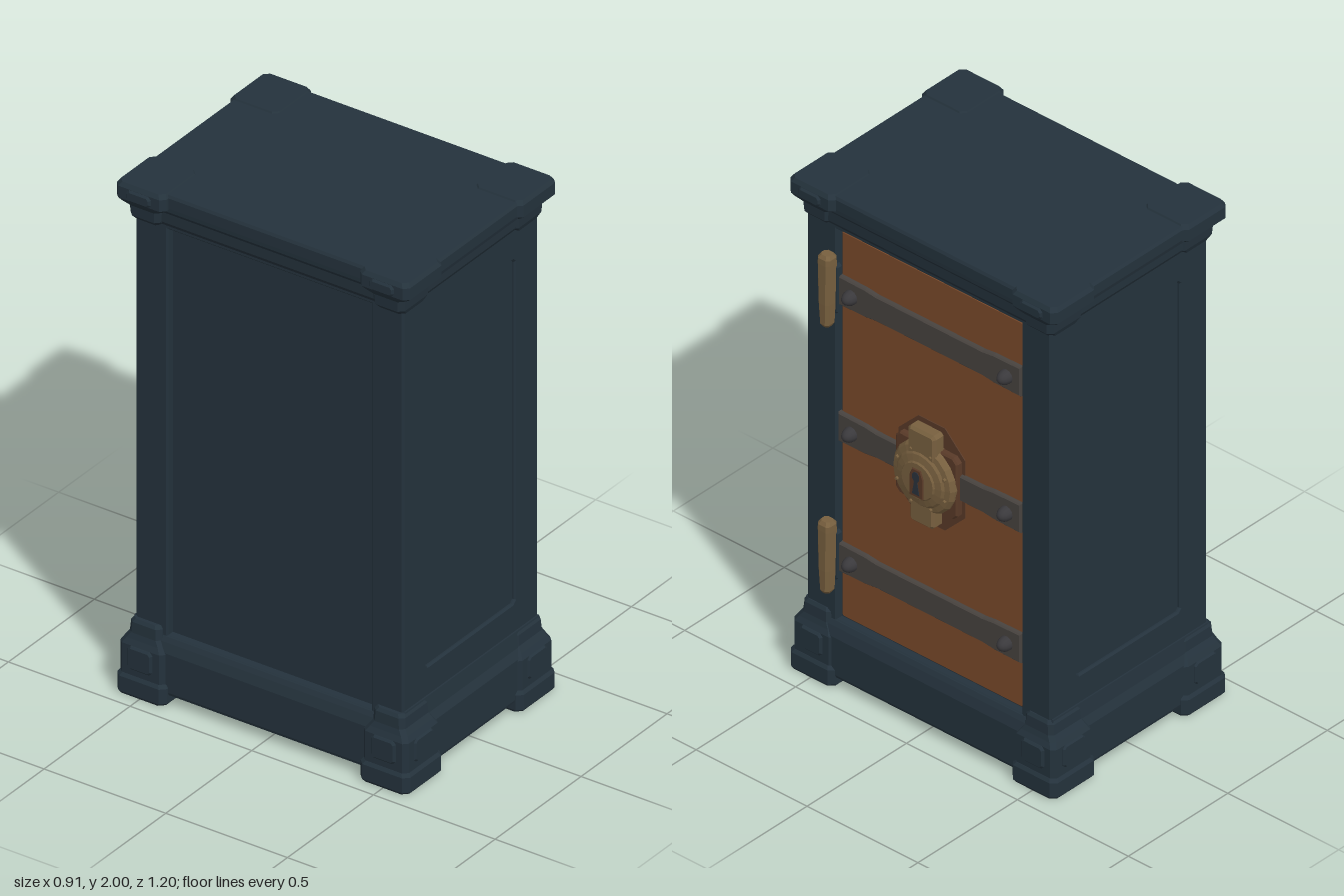
import * as THREE from 'three';

const mat = (name, color) => {
  const m = new THREE.MeshStandardMaterial({ color });
  m.name = name;
  return m;
};

// Stacked chamfered rectangles; each level is [y, halfX, halfZ]
function loft(levels, chamfer = 0.012) {
  const rings = levels.map(([y, a, b]) => {
    const c = Math.min(chamfer, a * 0.6, b * 0.6);
    return [[a, -b + c], [a, b - c], [a - c, b], [-a + c, b], [-a, b - c], [-a, -b + c], [-a + c, -b], [a - c, -b]]
      .map(([x, z]) => [x, y, z]);
  });
  const pos = [];
  const tri = (...p) => p.forEach((v) => pos.push(...v));
  const last = rings.length - 1;
  for (let i = 0; i < 8; i++) {
    const j = (i + 1) % 8;
    for (let k = 0; k < last; k++) {
      const lo = rings[k], hi = rings[k + 1];
      tri(lo[i], hi[i], lo[j]);
      tri(lo[j], hi[i], hi[j]);
    }
    tri([0, levels[0][0], 0], rings[0][i], rings[0][j]);
    tri([0, levels[last][0], 0], rings[last][j], rings[last][i]);
  }
  const g = new THREE.BufferGeometry();
  g.setAttribute('position', new THREE.Float32BufferAttribute(pos, 3));
  g.computeVertexNormals();
  return g;
}

const polygon = (pts) => new THREE.Shape(pts.map(([x, y]) => new THREE.Vector2(x, y)));
const rect = (x0, y0, x1, y1, c = 0) => polygon(c
  ? [[x0 + c, y0], [x1 - c, y0], [x1, y0 + c], [x1, y1 - c], [x1 - c, y1], [x0 + c, y1], [x0, y1 - c], [x0, y0 + c]]
  : [[x0, y0], [x1, y0], [x1, y1], [x0, y1]]);

// Slab whose bevelled outer face lies on z = 0
function slab(shape, depth, bevel = 0.006) {
  const g = new THREE.ExtrudeGeometry(shape, {
    depth: depth - 2 * bevel, bevelEnabled: true, bevelSize: bevel, bevelThickness: bevel,
    bevelOffset: -bevel, bevelSegments: 1, curveSegments: 8,
  });
  return g.translate(0, 0, -depth + bevel);
}

export function createModel() {
  const navy = mat('navy painted wood', 0x24323c);
  const wood = mat('orange brown wood', 0x7a4a2b);
  const iron = mat('grey iron', 0x48433f);
  const rivetIron = mat('dark rivet iron', 0x3a393c);
  const brass = mat('aged brass', 0x78603f);
  const rust = mat('dark brown wood', 0x593a28);
  const dark = mat('keyhole dark', 0x2b323c);

  const model = new THREE.Group();
  const add = (name, geo, material, x = 0, y = 0, z = 0, parent = model) => {
    const m = new THREE.Mesh(geo, material);
    m.name = name;
    m.position.set(x, y, z);
    parent.add(m);
    return m;
  };
  const CX = -0.005;

  // Carcass core, with a raised frame on each of the four sides
  add('carcassCore', loft([[0.06, 0.362, 0.538], [1.96, 0.362, 0.538]], 0.002), navy, CX);
  for (const s of [1, -1]) {
    const face = rect(-0.392, 0.05, 0.392, 1.93);
    face.holes.push(rect(-0.26, 0.4, 0.258, 1.745, 0.012));
    const end = add(s > 0 ? 'frontFrame' : 'backFrame', slab(face, 0.024), navy, CX, 0, s * 0.55);
    end.rotation.y = s > 0 ? 0 : Math.PI;
    const side = rect(-0.548, 0.05, 0.548, 1.93);
    side.holes.push(rect(-0.418, 0.255, 0.418, 1.845));
    const f = add(s > 0 ? 'doorFrame' : 'leftFrame', slab(side, 0.04), navy, CX + s * 0.393);
    f.rotation.y = s * Math.PI / 2;
  }

  // Cornice and plinth
  add('cornice', loft([[1.86, 0.393, 0.55], [1.875, 0.402, 0.558], [1.915, 0.404, 0.56], [1.93, 0.415, 0.583],
    [1.945, 0.416, 0.587], [1.985, 0.416, 0.587], [1.995, 0.41, 0.58]]), navy, CX);
  add('plinth', loft([[0.04, 0.415, 0.577], [0.05, 0.418, 0.58], [0.2, 0.418, 0.58], [0.235, 0.405, 0.563],
    [0.252, 0.395, 0.552]]), navy, CX);
  for (const s of [1, -1]) {
    add('plinthTopMoulding', loft([[0.2, 0.395, 0.012], [0.23, 0.395, 0.012], [0.29, 0.39, 0.003]], 0.002),
      navy, CX, 0, s * 0.553);
  }

  // Corner blocks, feet and their raised bosses
  for (const sx of [1, -1]) {
    for (const sz of [1, -1]) {
      const corner = new THREE.Group();
      corner.name = 'corner';
      corner.position.set(CX - 0.005 + sx * 0.33, 0, sz * 0.5);
      model.add(corner);
      const put = (name, geo, dx = 0, y = 0, dz = 0) => add(name, geo, navy, sx * dx, y, sz * dz, corner);
      put('foot', loft([[0, 0.104, 0.094], [0.01, 0.11, 0.102], [0.068, 0.11, 0.102], [0.08, 0.102, 0.094]], 0.02));
      put('lowerBlock', loft([[0.07, 0.1, 0.092], [0.195, 0.1, 0.092], [0.215, 0.09, 0.08],
        [0.235, 0.083, 0.066], [0.275, 0.08, 0.063], [0.287, 0.072, 0.055]], 0.016));
      put('upperBracket', loft([[1.85, 0.066, 0.055], [1.87, 0.085, 0.063], [1.91, 0.088, 0.066],
        [1.93, 0.104, 0.092], [1.94, 0.11, 0.102], [1.985, 0.11, 0.102], [2, 0.1, 0.092]], 0.018));
      for (const [y, h, out] of [[0.15, 0.045, 0.1], [1.962, 0.022, 0.108]]) {
        const boss = slab(rect(-0.05, -h, 0.05, h, 0.012), 0.03, 0.007);
        put('sideBoss', boss, out + 0.01, y).rotation.y = sx * Math.PI / 2;
      }
      const frontBoss = slab(rect(-0.055, -0.045, 0.055, 0.045, 0.012), 0.03, 0.006);
      put('endBoss', frontBoss, 0, 0.15, 0.099).rotation.y = sz > 0 ? 0 : Math.PI;
    }
  }

  // Door assembly: local z points outwards, local x runs along the door
  const door = new THREE.Group();
  door.name = 'door';
  door.rotation.y = Math.PI / 2;
  model.add(door);
  add('doorPanel', slab(rect(-0.412, 0.262, 0.412, 1.838, 0.008), 0.03, 0.008), wood, 0, 0, 0.37, door);

  // Iron straps with domed rivets
  for (const y of [1.6, 1.043, 0.513]) {
    const strap = polygon([[-0.412, -0.058], [-0.29, -0.056], [-0.24, -0.05], [0.24, -0.05], [0.29, -0.056], [0.412, -0.058],
      [0.412, 0.06], [0.29, 0.058], [0.24, 0.052], [-0.24, 0.052], [-0.29, 0.058], [-0.412, 0.06]]);
    add('strap', slab(strap, 0.025, 0.005), iron, 0, y, 0.388, door);
    for (const s of [1, -1]) {
      const rivet = new THREE.SphereGeometry(0.028, 12, 5, 0, Math.PI * 2, 0, Math.PI / 2);
      rivet.scale(1, 1.5, 1).rotateX(Math.PI / 2);
      add('rivet', rivet, rivetIron, s * 0.35, y, 0.387, door);
    }
  }

  // Hinges on the +z post
  for (const y of [1.605, 0.52]) {
    add('hinge', loft([[-0.147, 0.016, 0.014], [-0.135, 0.024, 0.02], [-0.05, 0.027, 0.024], [0.11, 0.028, 0.027],
      [0.132, 0.027, 0.027], [0.145, 0.018, 0.02]], 0.01), brass, 0.41, y, 0.438);
    add('hingeLeaf', slab(rect(-0.03, -0.1, 0.03, 0.1, 0.01), 0.025, 0.004), navy, -0.435, y, 0.395, door);
  }

  // Lock: backing, stepped plate, lugs, disc and keyhole
  const lock = new THREE.Group();
  lock.name = 'lock';
  lock.position.y = 1.04;
  door.add(lock);
  add('lockShadowPlate', new THREE.ExtrudeGeometry(rect(-0.15, -0.21, 0.15, 0.205, 0.09),
    { depth: 0.005, bevelEnabled: false }), rust, 0, 0, 0.369, lock);
  add('lockBackPlate', slab(rect(-0.14, -0.125, 0.14, 0.125, 0.02), 0.03, 0.006), rust, 0, 0, 0.402, lock);
  add('upperLug', slab(rect(-0.063, 0.06, 0.063, 0.195, 0.012), 0.055, 0.01), brass, 0, 0, 0.43, lock);
  add('lowerLug', slab(rect(-0.055, -0.19, 0.055, -0.06, 0.012), 0.055, 0.01), brass, 0, 0, 0.428, lock);
  const profile = [[0.138, 0.37], [0.138, 0.41], [0.128, 0.424], [0.108, 0.428], [0.1, 0.436], [0.075, 0.441],
    [0.07, 0.447], [0, 0.448]].map(([r, h]) => new THREE.Vector2(r, h));
  const disc = new THREE.LatheGeometry(profile, 20).toNonIndexed();
  disc.rotateX(Math.PI / 2);
  disc.computeVertexNormals();
  add('lockDisc', disc, brass, 0, 0, 0, lock);
  for (let i = 0; i < 8; i++) {
    const a = (i + 0.5) * Math.PI / 4;
    const stud = new THREE.CylinderGeometry(0.006, 0.008, 0.01, 6).rotateX(Math.PI / 2);
    add('lockStud', stud, brass, Math.cos(a) * 0.115, Math.sin(a) * 0.115, 0.43, lock);
  }
  const escutcheon = polygon([[-0.03, -0.062], [0.03, -0.062], [0.03, 0.02], [0.018, 0.05], [-0.018, 0.05], [-0.03, 0.02]]);
  add('keyholePlate', slab(escutcheon, 0.009, 0.002), rust, 0, 0, 0.453, lock);
  const keyhole = polygon([[-0.016, -0.05], [0.016, -0.05], [0.007, 0.0], [0.015, 0.012], [0.015, 0.03],
    [0.006, 0.04], [-0.006, 0.04], [-0.015, 0.03], [-0.015, 0.012], [-0.007, 0.0]]);
  add('keyhole', new THREE.ExtrudeGeometry(keyhole, { depth: 0.003, bevelEnabled: false }), dark, 0, 0, 0.452, lock);

  return model;
}
